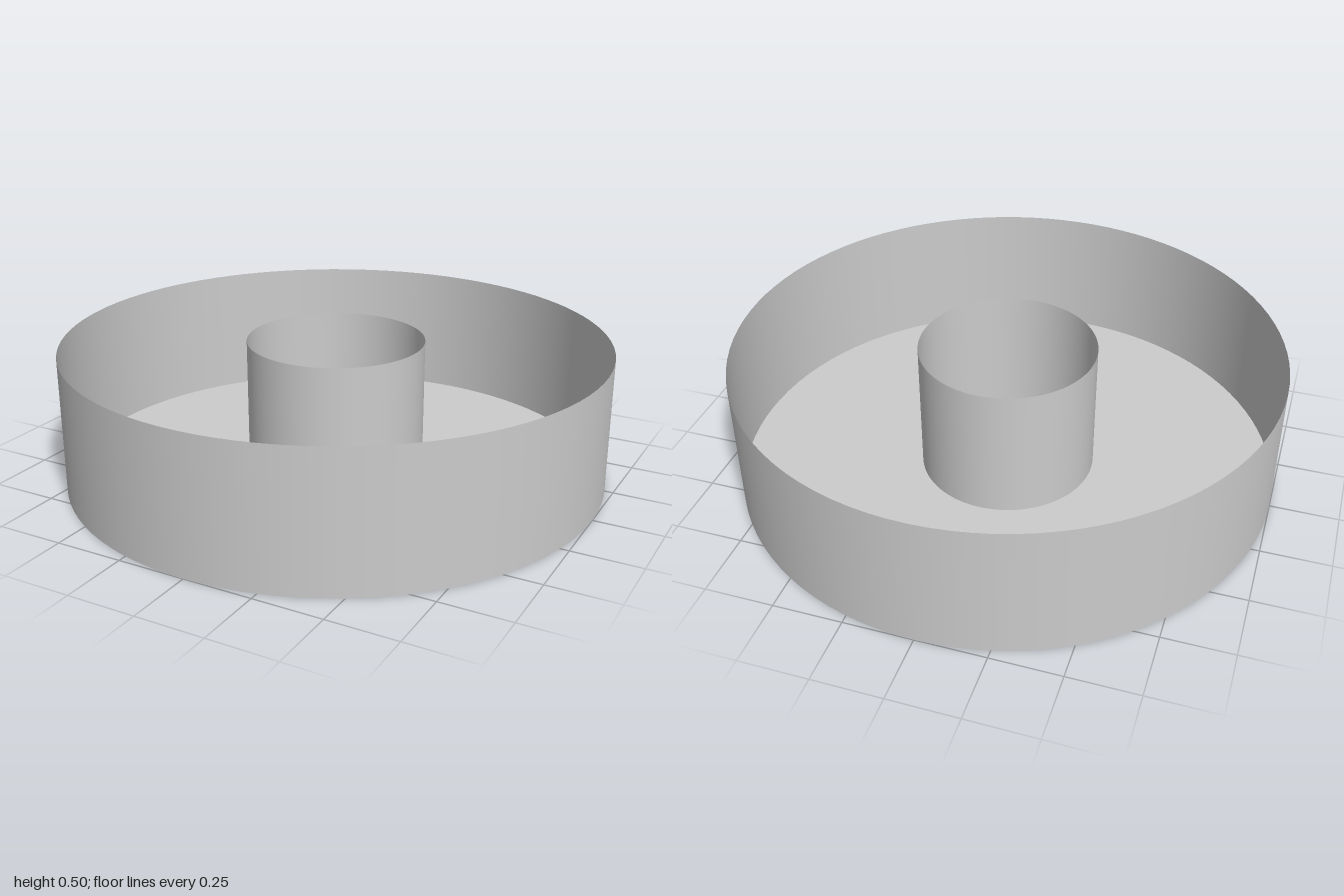
import * as THREE from 'three';

const OUTER = 1, INNER = 0.326, HEIGHT = 0.5, SIDES = 96;

export function createModel() {
  const group = new THREE.Group();
  const material = new THREE.MeshStandardMaterial({ color: 0xcccccc, side: THREE.DoubleSide });

  const add = (name, geometry) => {
    const mesh = new THREE.Mesh(geometry, material);
    mesh.name = name;
    group.add(mesh);
  };

  // Thin open-ended tube standing on the ground
  const wall = (radius) =>
    new THREE.CylinderGeometry(radius, radius, HEIGHT, SIDES, 1, true).translate(0, HEIGHT / 2, 0);

  add('outerWall', wall(OUTER));
  add('centreTube', wall(INNER));

  // Flat ring closing the bottom between the two walls
  add('floor', new THREE.RingGeometry(INNER, OUTER, SIDES).rotateX(-Math.PI / 2));

  return group;
}
